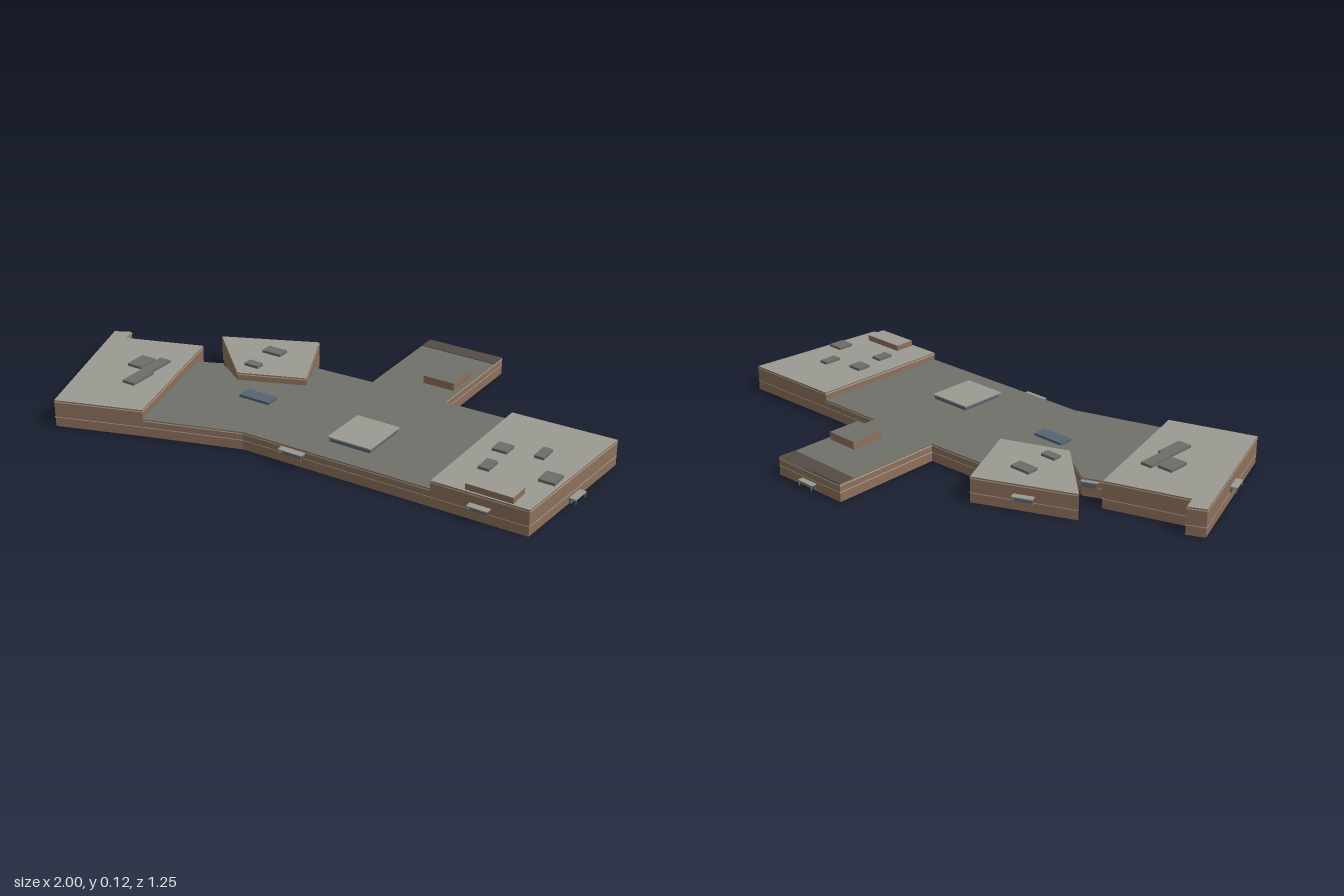
import * as THREE from 'three';

const mat = (name, color, side = THREE.FrontSide) => {
  const m = new THREE.MeshStandardMaterial({ color, side });
  m.name = name;
  return m;
};

export function createModel() {
  const brick = mat('brown brick', 0x8e705b, THREE.DoubleSide);
  const darkRoof = mat('dark roof', 0x6f7169);
  const paleRoof = mat('pale roof', 0x9b9a92);
  const unitGrey = mat('rooftop unit grey', 0x6c6e69);
  const glass = mat('blue glass', 0x566475);
  const trim = mat('pale trim', 0xb4b2a8, THREE.DoubleSide);
  const umber = mat('dark umber roof', 0x544c46);

  const model = new THREE.Group();
  model.name = 'shoppingCentre';

  const add = (parent, name, geometry, material) => {
    const m = new THREE.Mesh(geometry, material);
    m.name = name;
    parent.add(m);
    return m;
  };

  // Box from x, y and z ranges; material order: +x -x +y -y +z -z
  const box = (parent, name, x0, x1, y0, y1, z0, z1, side, top = side) => {
    const g = new THREE.BoxGeometry(x1 - x0, y1 - y0, z1 - z0);
    const m = add(parent, name, g, [side, side, top, side, side, side]);
    m.position.set((x0 + x1) / 2, (y0 + y1) / 2, (z0 + z1) / 2);
    return m;
  };

  // Vertical band along the edges of an outline, pushed outward a little
  const band = (pts, y0, y1, out, skip) => {
    const pos = [];
    pts.forEach((a, i) => {
      if (skip.includes(i)) return;
      const b = pts[(i + 1) % pts.length];
      const dx = b[0] - a[0], dz = b[1] - a[1], len = Math.hypot(dx, dz);
      const ox = -dz / len * out, oz = dx / len * out;
      const A = [a[0] + ox, a[1] + oz], B = [b[0] + ox, b[1] + oz];
      for (const [p, y] of [[A, y0], [B, y0], [B, y1], [A, y0], [B, y1], [A, y1]]) pos.push(p[0], y, p[1]);
    });
    const g = new THREE.BufferGeometry();
    g.setAttribute('position', new THREE.Float32BufferAttribute(pos, 3));
    g.computeVertexNormals();
    return g;
  };

  // Building block: open shell of walls, thin roof slab, trim lines
  const block = (name, pts, h, roof, skip = []) => {
    const group = new THREE.Group();
    group.name = name;
    model.add(group);
    add(group, name + 'Walls', band(pts, 0, h - 0.004, 0, skip), brick);
    const shape = new THREE.Shape(pts.map(([x, z]) => new THREE.Vector2(x, -z)));
    const slab = new THREE.ExtrudeGeometry(shape, { depth: 0.004, bevelEnabled: false });
    slab.rotateX(-Math.PI / 2).translate(0, h - 0.004, 0);
    add(group, name + 'Roof', slab, [roof, brick]);
    add(group, name + 'Stripe', band(pts, 0.035, 0.038, 0.0015, skip), trim);
    add(group, name + 'RoofTrim', band(pts, h - 0.008, h - 0.004, 0.0015, skip), trim);
    return group;
  };

  const concourse = block('concourse', [
    [-0.48, 0.52], [-0.13, 0.41], [0.6, 0.4], [0.6, -0.17], [0.335, -0.165], [0.035, -0.165],
    [-0.21, -0.155], [-0.15, -0.01], [-0.39, 0.085], [-0.52, 0], [-0.61, 0.04],
  ], 0.067, darkRoof, [2, 4, 6, 7, 10]);
  const northWing = block('northWing', [
    [0.035, -0.165], [0.335, -0.165], [0.335, -0.61], [0.025, -0.603],
  ], 0.067, darkRoof);
  const westStore = block('westStore', [
    [-0.79, 0.625], [-0.48, 0.52], [-0.63, -0.025], [-0.92, 0.075], [-0.94, 0.02], [-1, 0.05],
  ], 0.102, paleRoof);
  const cornerStore = block('cornerStore', [
    [-0.39, 0.085], [-0.15, -0.01], [-0.285, -0.3], [-0.63, -0.145],
  ], 0.096, paleRoof);
  const eastStore = block('eastStore', [
    [0.6, 0.4], [0.95, 0.395], [0.99, -0.18], [0.6, -0.17],
  ], 0.096, paleRoof);
  // Front wall of the concourse
  const front = [[-0.13, 0.41], [0.6, 0.4]];
  add(concourse, 'frontWall', band(front, 0, 0.063, 0, [1]), brick);
  add(concourse, 'frontStripe', band(front, 0.035, 0.038, 0.0015, [1]), trim);
  add(concourse, 'frontRoofTrim', band(front, 0.059, 0.063, 0.0015, [1]), trim);

  // Roof features
  box(concourse, 'clerestory', 0.155, 0.315, 0.067, 0.081, 0.125, 0.305, glass);
  box(concourse, 'clerestoryRoof', 0.15, 0.32, 0.081, 0.086, 0.12, 0.31, paleRoof);
  box(concourse, 'skylight', -0.3, -0.175, 0.067, 0.077, 0.14, 0.195, glass);
  box(northWing, 'penthouse', 0.195, 0.32, 0.067, 0.096, -0.39, -0.26, brick, darkRoof);
  box(northWing, 'endRoofStrip', 0.027, 0.335, 0.066, 0.069, -0.605, -0.54, umber);
  box(eastStore, 'penthouse', 0.72, 0.89, 0.096, 0.118, 0.31, 0.39, brick, paleRoof);

  // Rooftop units: x and z ranges
  const units = (parent, y, h, list) => list.forEach(([x0, x1, z0, z1]) =>
    box(parent, 'rooftopUnit', x0, x1, y, y + h, z0, z1, unitGrey));
  units(eastStore, 0.096, 0.01, [
    [0.67, 0.725, 0.06, 0.115], [0.69, 0.73, 0.185, 0.25],
    [0.81, 0.845, 0.015, 0.085], [0.89, 0.95, 0.155, 0.22],
  ]);
  units(westStore, 0.102, 0.01, [
    [-0.755, -0.695, 0.18, 0.265], [-0.685, -0.64, 0.16, 0.27], [-0.68, -0.628, 0.27, 0.385],
  ]);
  units(cornerStore, 0.096, 0.01, [[-0.415, -0.335, -0.155, -0.108], [-0.405, -0.345, -0.015, 0.02]]);

  // Entrances: glass doors under a canopy, facing outward along (nx, nz)
  const entrance = (parent, x, z, nx, nz, w, y, depth = 0.025) => {
    const g = new THREE.Group();
    g.name = 'entrance';
    g.position.set(x, y, z);
    g.rotation.y = Math.atan2(nx, nz);
    parent.add(g);
    box(g, 'doors', -w * 0.44, w * 0.44, 0, 0.021, -0.002, 0.004, glass);
    box(g, 'canopy', -w / 2, w / 2, 0.021, 0.025, 0, depth, paleRoof);
    for (const s of [-1, 1]) {
      const px = s * (w / 2 - 0.003);
      box(g, 'canopyPost', px - 0.002, px + 0.002, 0.004, 0.021, depth - 0.004, depth, unitGrey);
    }
  };
  entrance(concourse, 0.078, 0.409, 0, 1, 0.095, 0.035);
  entrance(eastStore, 0.78, 0.398, 0, 1, 0.075, 0.035);
  entrance(eastStore, 0.972, 0.11, 1, 0.07, 0.07, 0);
  entrance(northWing, 0.18, -0.606, 0, -1, 0.07, 0.003, 0.022);
  entrance(cornerStore, -0.458, -0.222, -0.41, -0.91, 0.075, 0.035);
  entrance(westStore, -0.895, 0.338, -0.94, 0.34, 0.07, 0.035);
  entrance(concourse, -0.545, 0.011, -0.41, -0.91, 0.06, 0.035, 0.012);

  return model;
}
